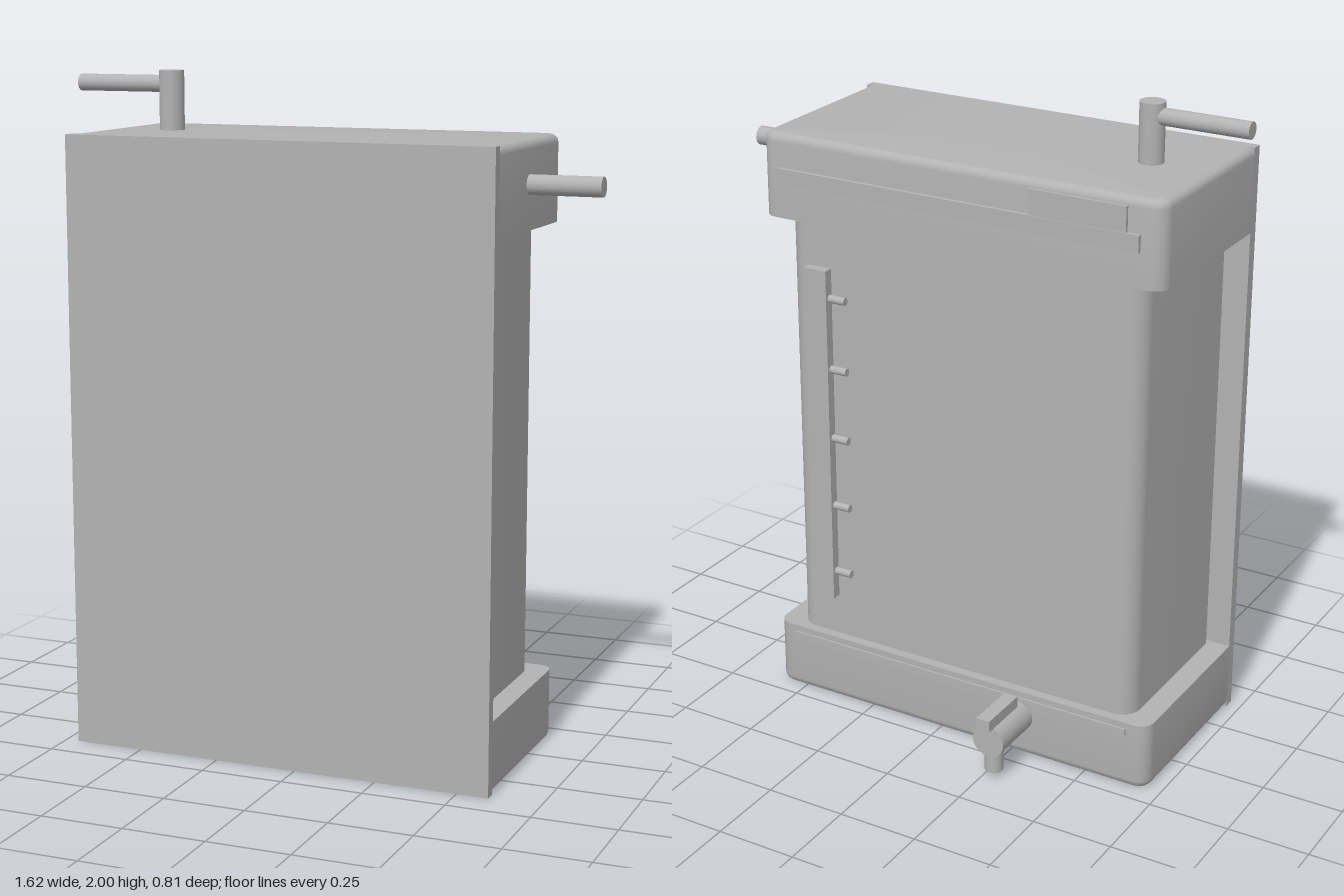
import * as THREE from 'three';
import { toCreasedNormals } from 'three/addons/utils/BufferGeometryUtils.js';

const grey = new THREE.MeshStandardMaterial({ color: 0xb2b2b2 });
grey.name = 'plain grey';

// Block with rounded back corners, lofted through rows of [y, inset]; the front stays square.
function roundedBlock(x0, x1, zFront, zBack, radius, rows) {
  const steps = 8;
  const ring = ([y, d]) => {
    const r = radius - d, pts = [[x0 + d, y, zFront], [x1 - d, y, zFront]];
    for (let i = 0; i <= steps; i++) {
      const a = (i / steps) * Math.PI / 2;
      pts.push([x1 - radius + r * Math.cos(a), y, zBack + radius - r * Math.sin(a)]);
    }
    for (let i = 0; i <= steps; i++) {
      const a = (1 + i / steps) * Math.PI / 2;
      pts.push([x0 + radius + r * Math.cos(a), y, zBack + radius - r * Math.sin(a)]);
    }
    return pts;
  };
  const rings = rows.map(ring), n = rings[0].length, last = rings.length - 1, pos = [];
  const tri = (a, b, c) => pos.push(...a, ...b, ...c);
  const mid = (y) => [(x0 + x1) / 2, y, (zFront + zBack) / 2];
  for (let i = 0; i < n; i++) {
    const k = (i + 1) % n;
    for (let j = 0; j < last; j++) {
      tri(rings[j][i], rings[j][k], rings[j + 1][k]);
      tri(rings[j][i], rings[j + 1][k], rings[j + 1][i]);
    }
    tri(mid(rows[last][0]), rings[last][i], rings[last][k]);
    tri(mid(rows[0][0]), rings[0][k], rings[0][i]);
  }
  const geo = new THREE.BufferGeometry();
  geo.setAttribute('position', new THREE.Float32BufferAttribute(pos, 3));
  return toCreasedNormals(geo, 0.6);
}

// Quarter-round edge rows from a straight wall up (dir 1) or down (dir -1) to yEnd.
function edgeRows(yEnd, dir, r = 0.025) {
  const rows = [];
  for (let i = 0; i <= 5; i++) {
    const a = (i / 5) * Math.PI / 2;
    rows.push([yEnd - dir * r * (1 - Math.sin(a)), r * (1 - Math.cos(a))]);
  }
  return rows;
}

export function createModel() {
  const model = new THREE.Group();
  const add = (name, geo) => {
    const mesh = new THREE.Mesh(geo, grey);
    mesh.name = name;
    model.add(mesh);
    return mesh;
  };
  const box = (name, x0, x1, y0, y1, z0, z1) =>
    add(name, new THREE.BoxGeometry(x1 - x0, y1 - y0, z1 - z0))
      .position.set((x0 + x1) / 2, (y0 + y1) / 2, (z0 + z1) / 2);
  const rod = (name, from, to, r) => {
    const a = new THREE.Vector3(...from), b = new THREE.Vector3(...to);
    const mesh = add(name, new THREE.CylinderGeometry(r, r, a.distanceTo(b), 32));
    mesh.position.copy(a).lerp(b, 0.5);
    mesh.quaternion.setFromUnitVectors(new THREE.Vector3(0, 1, 0), b.sub(a).normalize());
  };

  // Housing: mounting plate, two caps and the tank between them
  box('frontPlate', -0.71, 0.595, 0, 1.825, 0.37, 0.405);
  add('topCap', roundedBlock(-0.71, 0.595, 0.37, -0.2, 0.045, [[1.57, 0], ...edgeRows(1.825, 1)]));
  add('bottomCap', roundedBlock(-0.71, 0.595, 0.37, -0.2, 0.045, [...edgeRows(0, -1).reverse(), [0.215, 0]]));
  add('tank', roundedBlock(-0.64, 0.53, 0.35, -0.17, 0.06, [[0.2, 0], [1.58, 0]]));

  // Trim on the back of the caps
  box('topTrim', -0.64, 0.53, 1.675, 1.725, -0.213, -0.19);
  box('topLabelPanel', -0.6, -0.3, 1.7, 1.8, -0.21, -0.18);
  box('bottomTrim', -0.64, 0.53, 0.17, 0.196, -0.207, -0.19);

  // Level gauge with its marks
  box('levelGauge', 0.38, 0.455, 0.35, 1.43, -0.2, -0.16);
  for (let i = 0; i < 5; i++) {
    const y = 1.34 - i * 0.225;
    rod('gaugeMark', [0.39, y, -0.18], [0.325, y, -0.18], 0.012);
  }

  // Inlet and outlet pipes
  rod('topPipe', [-0.515, 1.81, 0.105], [-0.515, 2, 0.105], 0.037);
  rod('topPipeArm', [-0.515, 1.96, 0.105], [-0.815, 1.96, 0.105], 0.025);
  rod('sidePipe', [0.58, 1.7, 0.105], [0.81, 1.7, 0.105], 0.029);

  // Drain tap
  rod('tapBody', [-0.275, 0.133, -0.19], [-0.275, 0.133, -0.375], 0.052);
  rod('tapNozzle', [-0.275, 0.12, -0.338], [-0.275, 0.02, -0.338], 0.028);
  box('tapHandle', -0.296, -0.252, 0.184, 0.22, -0.405, -0.235);

  return model;
}
